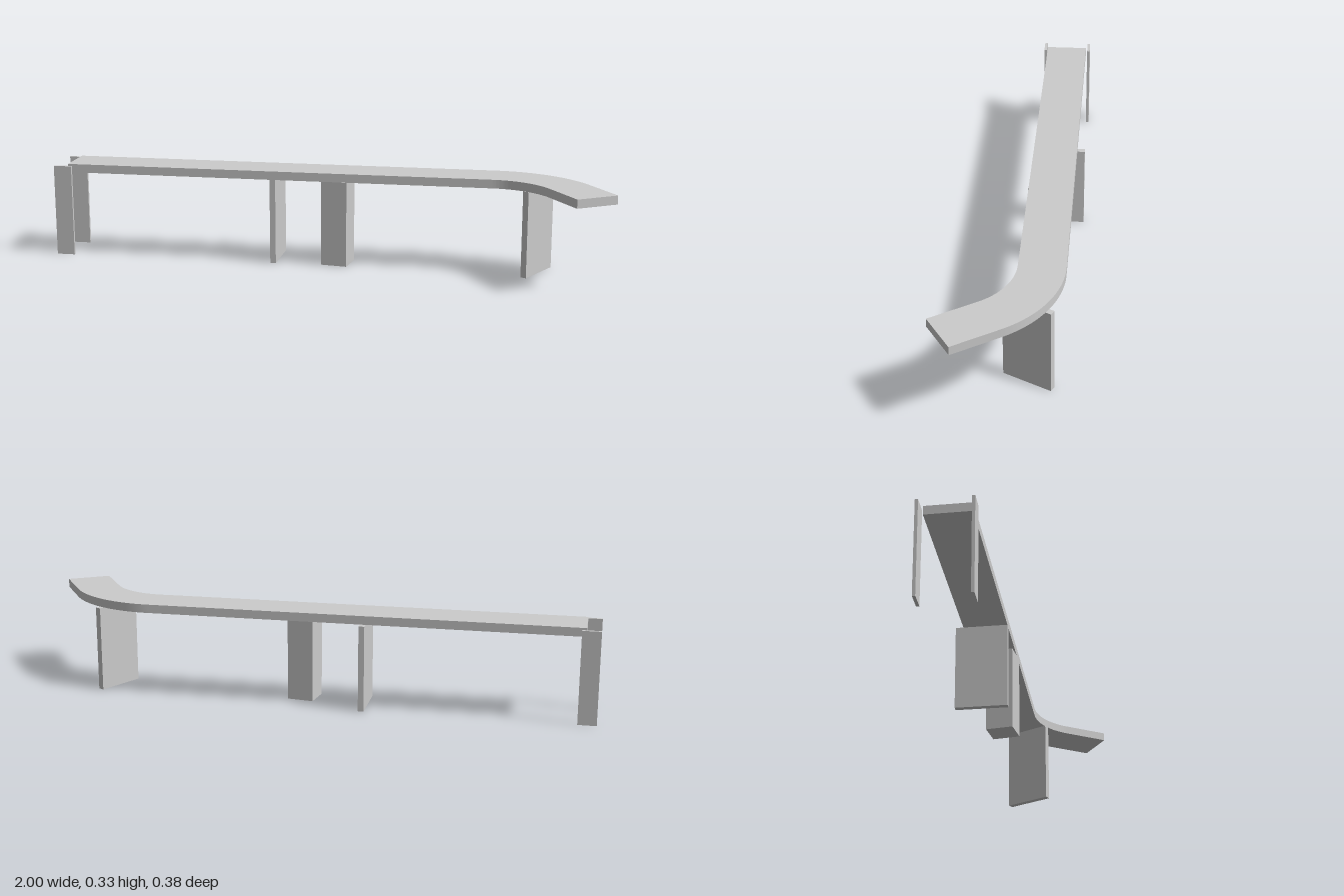
import * as THREE from 'three';
import { toCreasedNormals } from 'three/addons/utils/BufferGeometryUtils.js';

const rad = THREE.MathUtils.degToRad;

export function createModel() {
  const group = new THREE.Group();
  const material = new THREE.MeshStandardMaterial({ color: 0xcccccc });

  function add(name, geometry) {
    const mesh = new THREE.Mesh(geometry, material);
    mesh.name = name;
    group.add(mesh);
    return mesh;
  }

  // Upright standing on the ground, turned about the vertical axis
  function upright(name, x, z, width, depth, height, degrees) {
    const mesh = add(name, new THREE.BoxGeometry(width, height, depth));
    mesh.position.set(x, height / 2, z);
    mesh.rotation.y = rad(degrees);
  }

  // Counter top: straight run, bend and short return (plan drawn with y = -z)
  const cx = 0.597, cy = -0.195, outer = 0.386, inner = 0.233;
  const start = rad(98), end = rad(40.6), tail = 0.17;
  const tx = Math.sin(end) * tail, ty = -Math.cos(end) * tail;
  const plan = new THREE.Shape();
  plan.moveTo(-0.929, -0.17);
  plan.lineTo(-0.95, -0.02);
  plan.absarc(cx, cy, outer, start, end, true);
  plan.lineTo(cx + Math.cos(end) * outer + tx, cy + Math.sin(end) * outer + ty);
  plan.lineTo(cx + Math.cos(end) * inner + tx, cy + Math.sin(end) * inner + ty);
  plan.absarc(cx, cy, inner, end, start, false);
  plan.closePath();
  const top = new THREE.ExtrudeGeometry(plan, { depth: 0.03, bevelEnabled: false, curveSegments: 20 });
  top.rotateX(-Math.PI / 2);
  top.translate(0, 0.3, 0);
  add('counterTop', toCreasedNormals(top, rad(30)));

  // Panels and column beneath the counter
  upright('middlePanel', -0.2025, -0.02, 0.02, 0.179, 0.3, 8);
  upright('column', 0.0245, -0.0105, 0.092, 0.095, 0.3, 0);
  upright('bendPanel', 0.7135, -0.1005, 0.021, 0.175, 0.3, -19);

  // Thin posts at the straight end
  upright('frontEndPost', -0.9435, 0.181, 0.064, 0.01, 0.324, 8);
  upright('backEndPost', -0.968, 0.012, 0.064, 0.01, 0.324, 8);

  return group;
}
